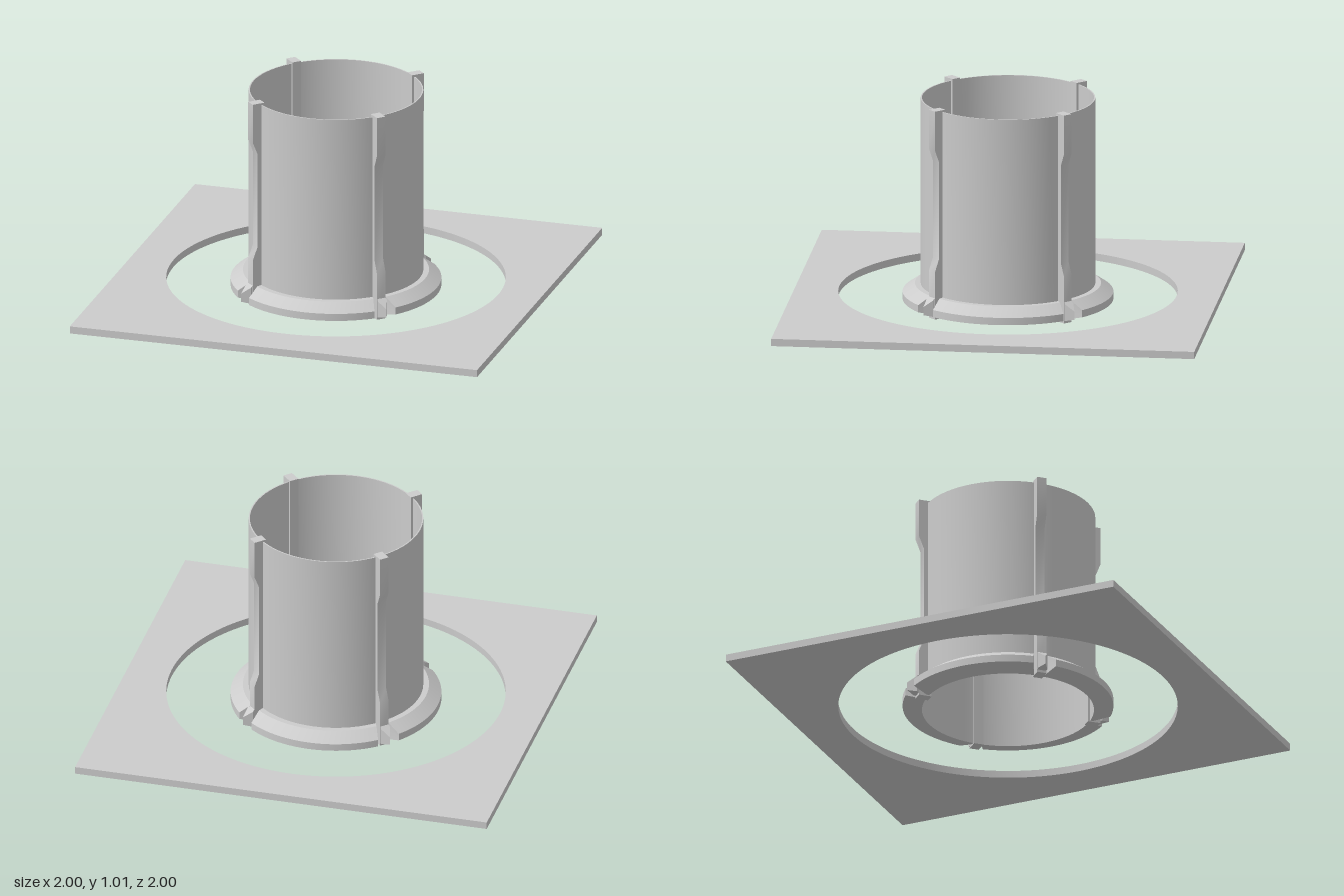
import * as THREE from 'three';
import { toCreasedNormals } from 'three/addons/utils/BufferGeometryUtils.js';
import { ConvexGeometry } from 'three/addons/geometries/ConvexGeometry.js';

const material = new THREE.MeshStandardMaterial({ color: 0xcccccc });
const points = (list) => list.map(([x, y]) => new THREE.Vector2(x, y));

function part(name, geometry) {
  const mesh = new THREE.Mesh(toCreasedNormals(geometry, 0.5), material);
  mesh.name = name;
  return mesh;
}

// Square plate with a round opening
function plateGeometry() {
  const shape = new THREE.Shape(points([[-1, -1], [1, -1], [1, 1], [-1, 1]]));
  shape.holes.push(new THREE.Path().absarc(0, 0, 0.797, 0, Math.PI * 2, true));
  const geometry = new THREE.ExtrudeGeometry(shape, { depth: 0.035, bevelEnabled: false, curveSegments: 72 });
  return geometry.rotateX(-Math.PI / 2).translate(0, 0.025, 0);
}

// Thin-walled open sleeve
function sleeveGeometry() {
  const profile = [[0.41, 0.005], [0.41, 1], [0.404, 1], [0.404, 0.005], [0.41, 0.005]];
  return new THREE.LatheGeometry(points(profile), 72);
}

// Quarter of the collar: a straight extrusion bent round the axis, its ends splayed
function collarGeometry() {
  const profile = [[0.406, 0.005], [0.42, 0.005], [0.495, 0.025], [0.495, 0.06], [0.437, 0.1], [0.406, 0.1]];
  const geometry = new THREE.ExtrudeGeometry(new THREE.Shape(points(profile)), { depth: 1, steps: 20, bevelEnabled: false });
  const p = geometry.attributes.position;
  for (let i = 0; i < p.count; i++) {
    const r = p.getX(i);
    const half = THREE.MathUtils.degToRad(45 - 3.2 - (r - 0.41) * 39);
    const angle = (0.5 - p.getZ(i)) * 2 * half;
    p.setXYZ(i, r * Math.sin(angle), p.getY(i), r * Math.cos(angle));
  }
  return geometry;
}

// Upright rib, thicker at its head and foot
function ribGeometry() {
  const profile = [[0.392, 0], [0.454, 0], [0.454, 0.23], [0.43, 0.29], [0.43, 0.76], [0.454, 0.82], [0.454, 1.01], [0.392, 1.01]];
  const width = 0.046;
  return new THREE.ExtrudeGeometry(new THREE.Shape(points(profile)), { depth: width, bevelEnabled: false })
    .translate(0, 0, -width / 2);
}

// Pointed toe at the foot of a rib
function toeGeometry() {
  const corners = [];
  for (const z of [-1, 1]) {
    corners.push([0.445, 0.01, z * 0.018], [0.445, 0.11, z * 0.018], [0.465, 0.015, z * 0.024], [0.465, 0.095, z * 0.024]);
  }
  corners.push([0.505, 0.025, 0], [0.505, 0.065, 0]);
  return new ConvexGeometry(corners.map((c) => new THREE.Vector3(...c)));
}

export function createModel() {
  const model = new THREE.Group();
  model.name = 'flangedSleeve';
  model.add(part('plate', plateGeometry()), part('sleeve', sleeveGeometry()));

  for (let i = 0; i < 4; i++) {
    const turn = (i * Math.PI) / 2;
    const collar = part('collarSegment', collarGeometry());
    collar.rotation.y = turn;

    const rib = new THREE.Group();
    rib.name = 'rib';
    rib.add(part('ribUpright', ribGeometry()), part('ribToe', toeGeometry()));
    rib.rotation.y = turn + Math.PI / 4;
    model.add(collar, rib);
  }
  return model;
}
